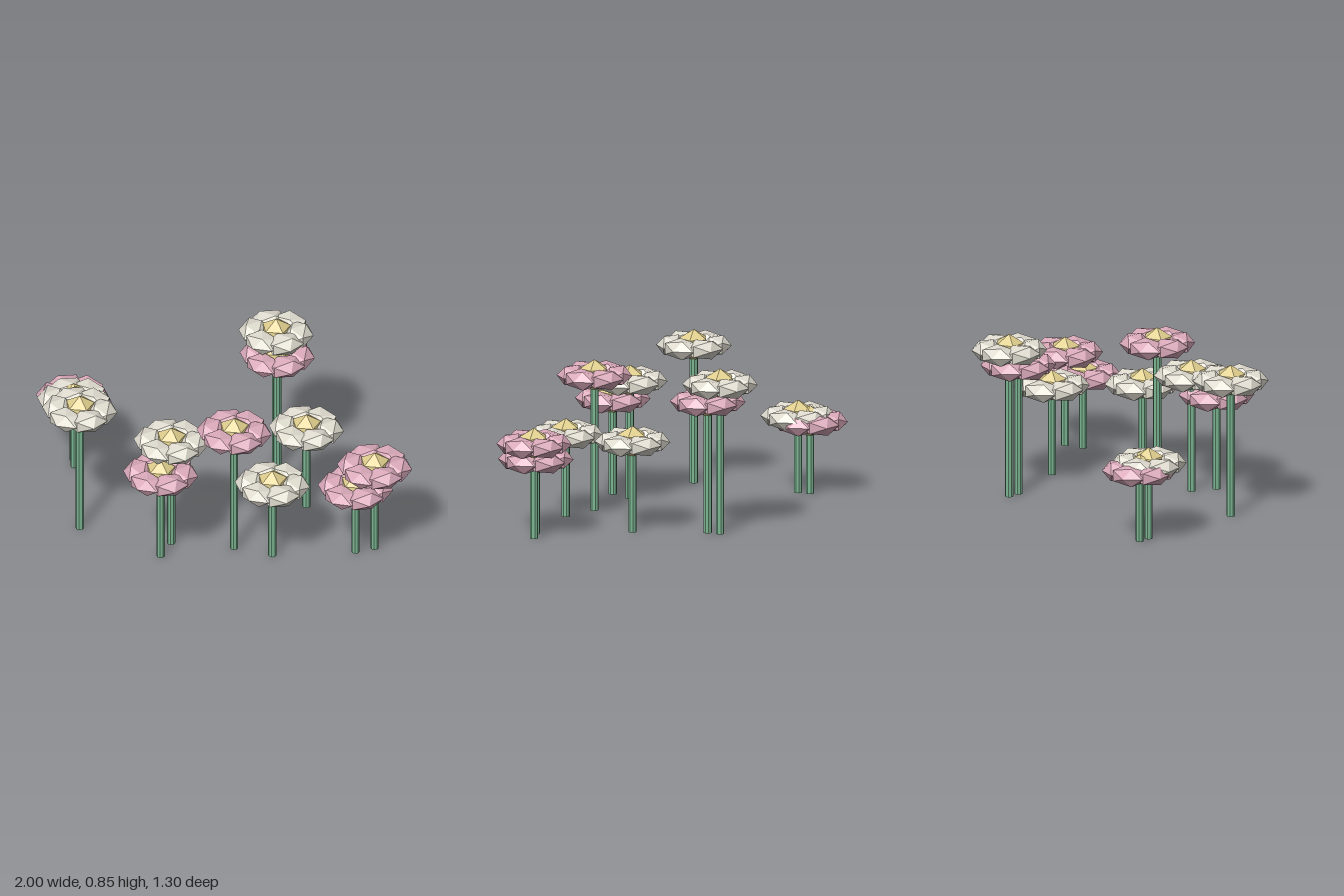
import * as THREE from 'three';

const material = (name, color) => {
  const m = new THREE.MeshStandardMaterial({ color });
  m.name = name;
  return m;
};

export function createModel() {
  const white = material('creamWhite', 0xe0dcd0);
  const pink = material('dustyPink', 0xdbaabb);
  const yellow = material('paleYellow', 0xe0cf8e);
  const green = material('stemGreen', 0x7cb592);

  // Faceted ball standing on a corner, with one upper ring corner towards the back
  const ball = new THREE.IcosahedronGeometry(1, 0);
  ball.rotateZ(-Math.atan(2 / (1 + Math.sqrt(5))));
  ball.rotateY(Math.PI / 2);

  const heartGeo = ball.clone().scale(0.083, 0.083, 0.083);

  // Petal: the same ball laid on its side, flattened, and moved outwards along x
  const petalGeo = ball.clone().rotateZ(-Math.PI / 2);
  petalGeo.scale(0.078, 0.055, 0.103);
  petalGeo.translate(0.113, 0, 0);

  // x, z, height of the flower head, petal colour
  const flowers = [
    [-0.69, 0.28, 0.71, white],
    [0.105, 0.35, 0.695, pink],
    [0.2, -0.474, 0.77, white],
    [0.215, -0.41, 0.677, pink],
    [-0.215, 0.35, 0.607, white],
    [-0.25, 0.477, 0.494, pink],
    [0.305, 0.39, 0.424, white],
    [0.41, -0.084, 0.465, white],
    [0.805, 0.248, 0.486, pink],
    [0.715, 0.297, 0.385, pink],
    [-0.797, -0.28, 0.395, white],
    [-0.812, -0.342, 0.372, pink],
  ];

  const model = new THREE.Group();
  model.name = 'flowerPatch';

  for (const [x, z, height, petalMaterial] of flowers) {
    const flower = new THREE.Group();
    flower.name = 'flower';
    flower.position.set(x, 0, z);

    const add = (name, geometry, mat, y, turn = 0) => {
      const mesh = new THREE.Mesh(geometry, mat);
      mesh.name = name;
      mesh.position.y = y;
      mesh.rotation.y = turn;
      flower.add(mesh);
    };

    // Straight stem with flat sides
    const stemGeo = new THREE.CylinderGeometry(0.021, 0.021, height, 8).toNonIndexed();
    stemGeo.computeVertexNormals();
    add('stem', stemGeo, green, height / 2);

    // Head: yellow heart in a ring of six petals
    add('heart', heartGeo, yellow, height);
    for (let i = 0; i < 6; i++) add('petal', petalGeo, petalMaterial, height, (i * Math.PI) / 3);

    model.add(flower);
  }
  return model;
}
